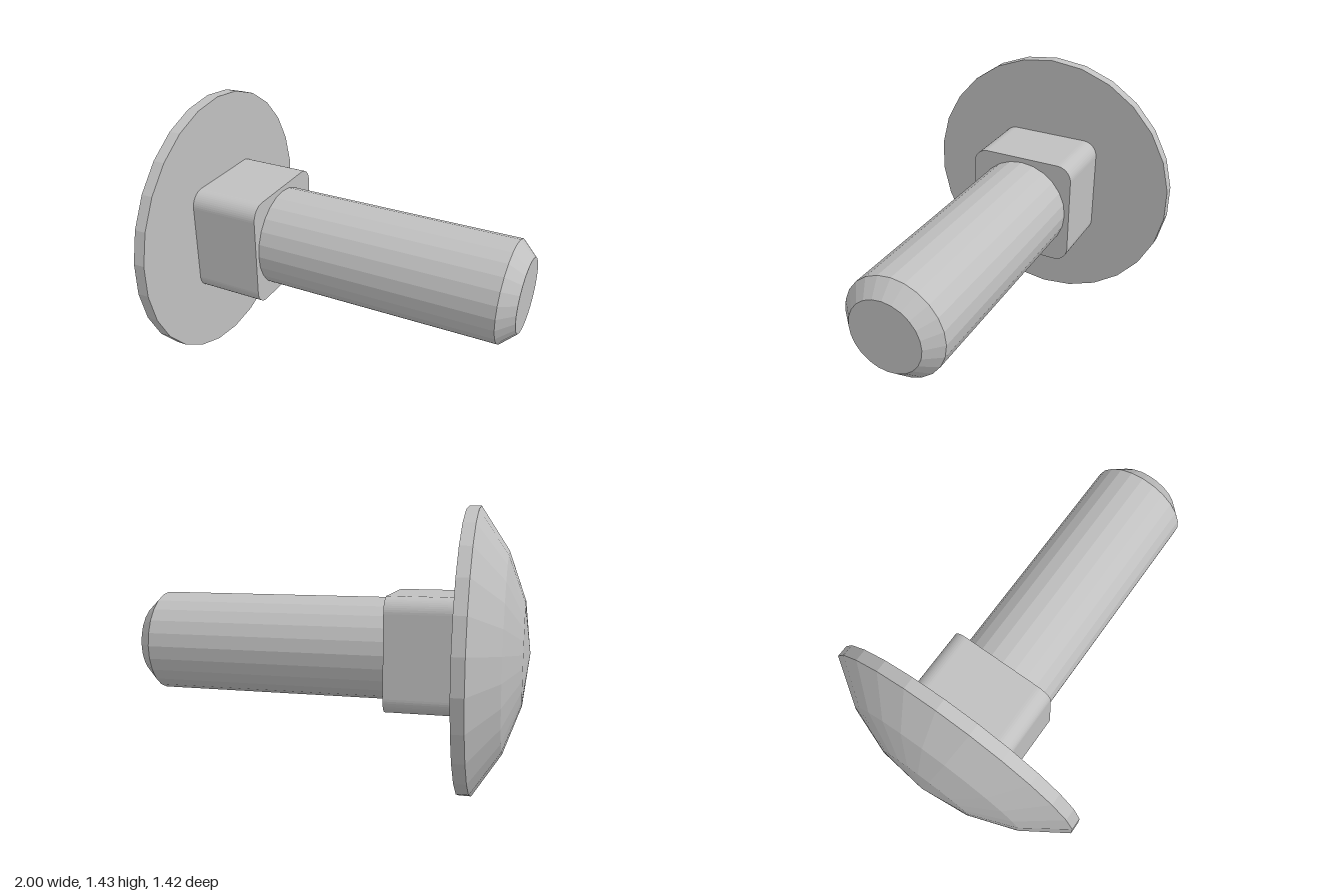
import * as THREE from 'three';

const AXIS_Y = 0.715; // height of the bolt's axis

export function createModel() {
  const steel = new THREE.MeshStandardMaterial({ color: 0xc0c0c0, flatShading: true });
  steel.name = 'steel';
  const bolt = new THREE.Group();
  bolt.name = 'carriageBolt';

  const add = (name, geometry) => {
    const mesh = new THREE.Mesh(geometry, steel);
    mesh.name = name;
    mesh.position.y = AXIS_Y;
    bolt.add(mesh);
  };

  // Turned part along x from [radius, x] pairs, with a vertex at the top
  const turned = (profile, sides) =>
    new THREE.LatheGeometry(profile.map(([r, x]) => new THREE.Vector2(r, x)), sides, Math.PI / 2)
      .rotateZ(-Math.PI / 2);

  // Domed head with a short rim and a flat underside
  add('domedHead', turned([
    [0, -1], [0.26, -0.97], [0.5, -0.885], [0.715, -0.745], [0.715, -0.685], [0, -0.685],
  ], 26));

  // Square neck with rounded long edges
  const h = 0.286, r = 0.08, c = h - r;
  const square = new THREE.Shape();
  [[c, c], [-c, c], [-c, -c], [c, -c]].forEach(([x, y], i) =>
    square.absarc(x, y, r, i * Math.PI / 2, (i + 1) * Math.PI / 2, false));
  square.closePath();
  add('squareNeck', new THREE.ExtrudeGeometry(square, { depth: 0.365, bevelEnabled: false, curveSegments: 6 })
    .rotateY(Math.PI / 2).translate(-0.685, 0, 0));

  // Round shank with a chamfered tip
  add('shank', turned([
    [0, -0.32], [0.261, -0.32], [0.261, 0.923], [0.188, 1], [0, 1],
  ], 24));

  return bolt;
}
